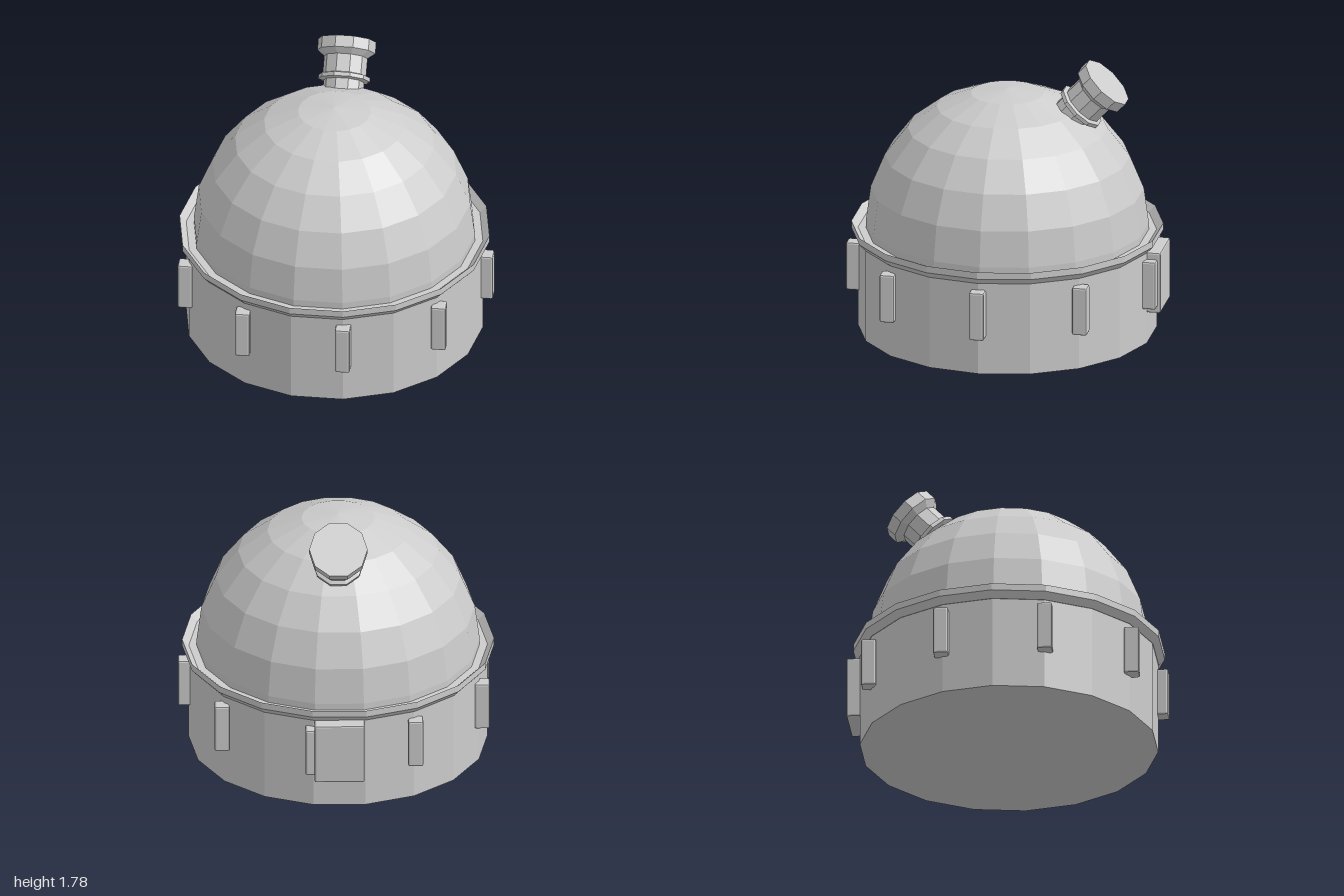
import * as THREE from 'three';
import { RoundedBoxGeometry } from 'three/addons/geometries/RoundedBoxGeometry.js';

export function createModel() {
  const model = new THREE.Group();
  model.name = 'observatory';
  const building = new THREE.Group();
  building.name = 'building';
  building.position.set(-0.017, 0, 0.01);
  model.add(building);

  const grey = new THREE.MeshStandardMaterial({ color: 0xcccccc, flatShading: true });
  grey.name = 'plain grey';

  const add = (name, geometry, parent = building) => {
    const mesh = new THREE.Mesh(geometry, grey);
    mesh.name = name;
    parent.add(mesh);
    return mesh;
  };
  // Profiles run from bottom to top; a corner always sits on the x axis
  const turn = (points, sides) => new THREE.LatheGeometry(
    points.map(([r, y]) => new THREE.Vector2(r, y)), sides, Math.PI / 2);

  // Round wall with closed bottom
  add('wall', turn([[0, 0], [0.937, 0], [0.937, 0.61]], 18));

  // Flared rim with a sloping inner lip and a ledge around the dome
  add('rim', turn([[0.93, 0.6], [0.94, 0.6], [0.978, 0.642], [0.978, 0.686],
    [0.936, 0.645], [0.86, 0.645]], 18));

  // Faceted hemisphere, carried down to the ledge
  const R = 0.887, domeY = 0.689;
  const dome = [[R, 0.62]];
  for (let i = 0; i <= 6; i++) {
    const a = i * Math.PI / 12;
    dome.push([i === 6 ? 0 : R * Math.cos(a), domeY + R * Math.sin(a)]);
  }
  add('dome', turn(dome, 18));

  // Nine upright blocks around the wall, all square to the axes
  const blockGeometry = new RoundedBoxGeometry(0.095, 0.315, 0.095, 1, 0.012);
  for (let i = 0; i < 9; i++) {
    const a = i * Math.PI * 2 / 9;
    add('wallBlock', blockGeometry)
      .position.set(0.957 * Math.cos(a), 0.398, 0.957 * Math.sin(a));
  }

  // Door panel at the back
  add('backPanel', new RoundedBoxGeometry(0.315, 0.4, 0.105, 1, 0.012))
    .position.set(0, 0.4, -0.957);

  // Telescope tube leaning backwards out of the dome, measured down from its cap
  const telescope = new THREE.Group();
  telescope.name = 'telescope';
  telescope.position.set(0.004, 1.659, -0.639);
  telescope.rotation.x = -0.765;
  building.add(telescope);
  add('telescopeTube', turn([[0, -0.37], [0.128, -0.37], [0.128, -0.262], [0.163, -0.255],
    [0.163, -0.23], [0.137, -0.222], [0.137, -0.108], [0.183, -0.073],
    [0.183, 0], [0, 0]], 10), telescope);

  return model;
}
